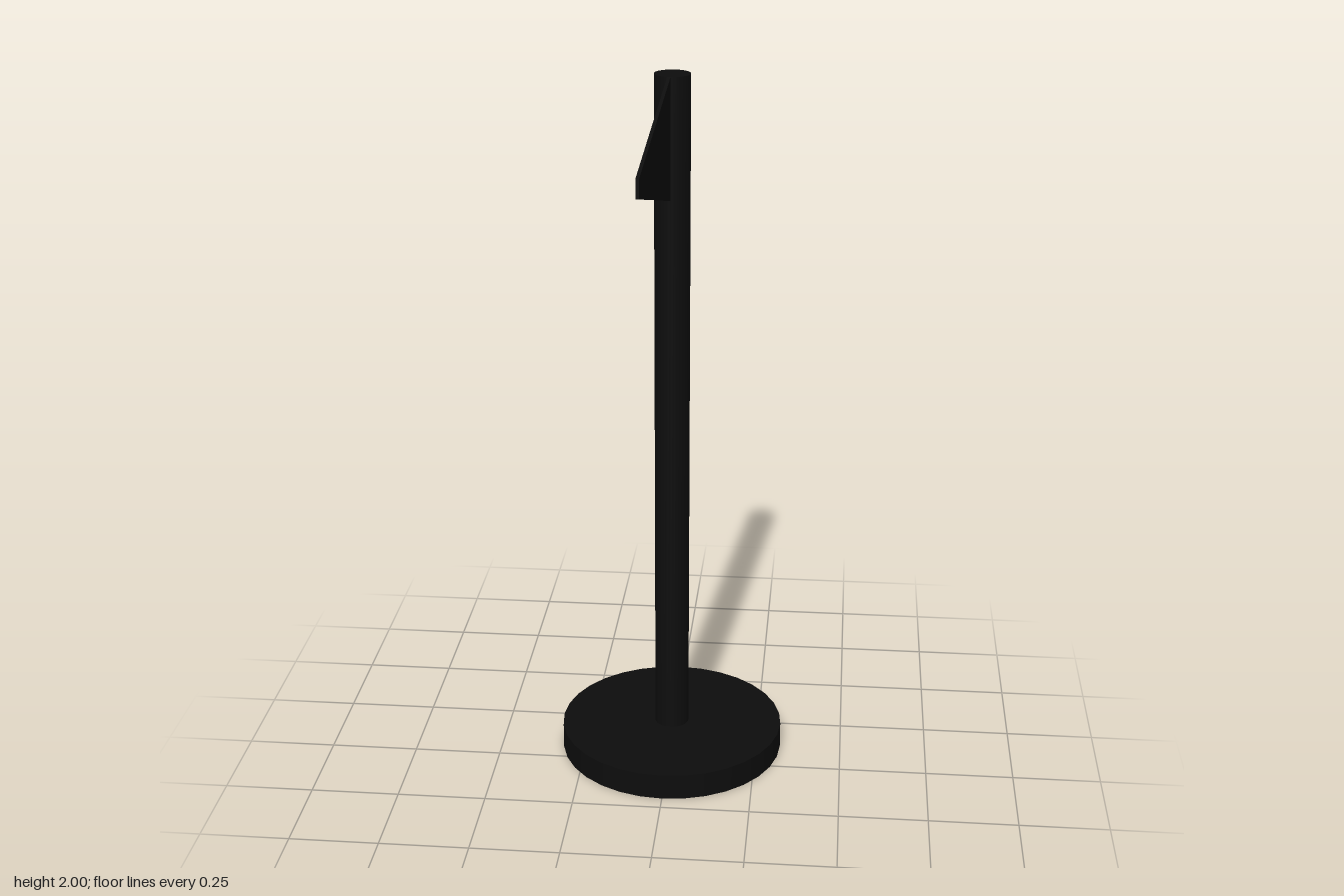
import * as THREE from 'three';

export function createModel() {
  const model = new THREE.Group();
  const material = new THREE.MeshStandardMaterial({ color: 0x0d0d0d });
  const poleZ = -0.118;

  const add = (name, geometry, x, y, z) => {
    const mesh = new THREE.Mesh(geometry, material);
    mesh.name = name;
    mesh.position.set(x, y, z);
    model.add(mesh);
    return mesh;
  };

  // Round foot and upright pole
  add('base', new THREE.CylinderGeometry(0.322, 0.322, 0.075, 32), 0, 0.0375, poleZ);
  add('pole', new THREE.CylinderGeometry(0.049, 0.049, 1.93, 32), 0, 1.035, poleZ);

  // Tapered pennant with a blunt tip, drawn along x and turned towards the front
  const thickness = 0.009;
  const outline = new THREE.Shape([
    new THREE.Vector2(0, 1.67),
    new THREE.Vector2(0.51, 1.81),
    new THREE.Vector2(0.51, 1.86),
    new THREE.Vector2(0, 2),
  ]);
  const flagGeometry = new THREE.ExtrudeGeometry(outline, { depth: thickness, bevelEnabled: false });
  flagGeometry.translate(0, 0, -thickness / 2);
  const flag = add('flag', flagGeometry, -0.005, 0, -0.07);
  flag.rotation.y = -Math.PI / 2 - 0.057;

  return model;
}
